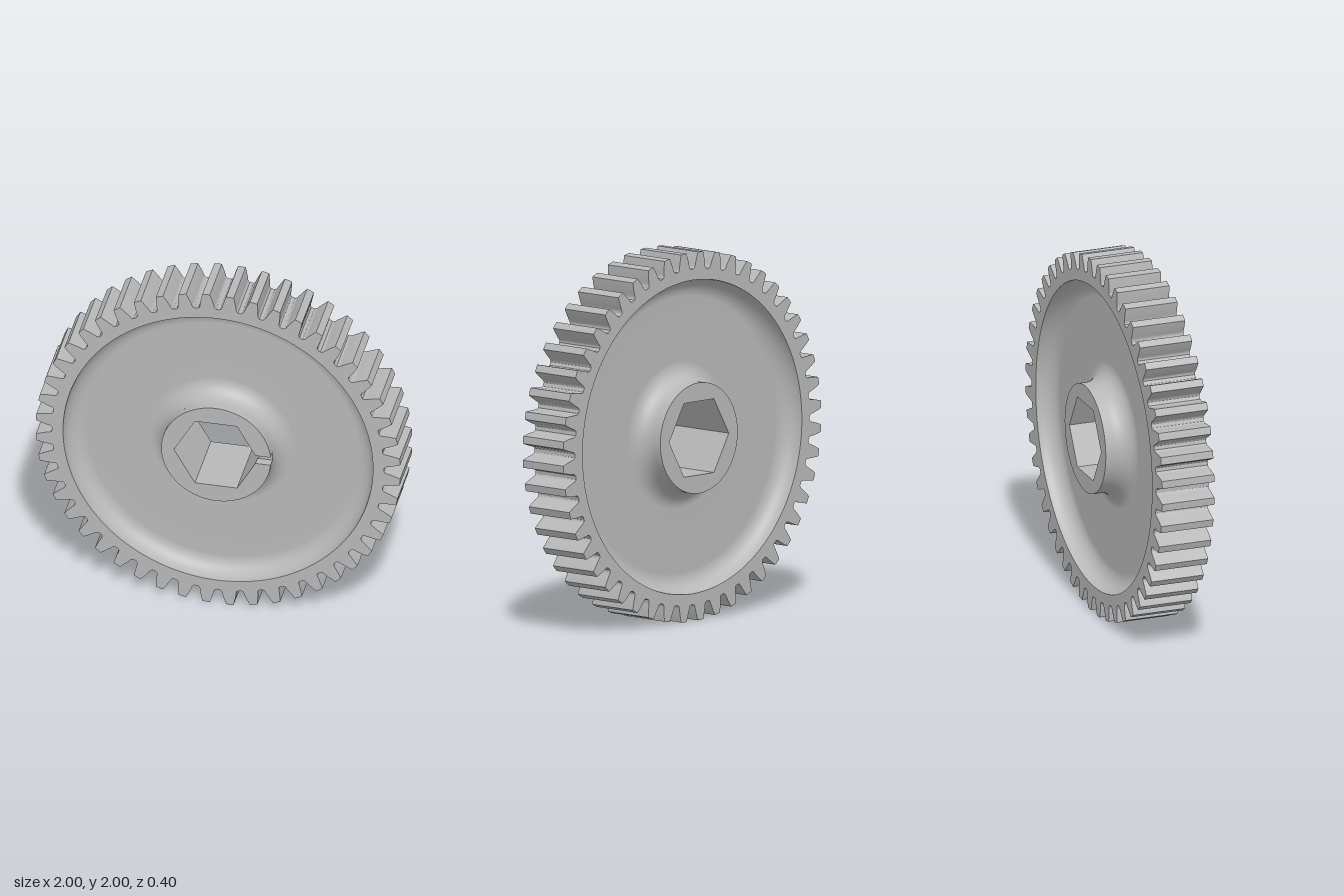
import * as THREE from 'three';
import { toCreasedNormals } from 'three/addons/utils/BufferGeometryUtils.js';

const TEETH = 48, TIP = 1.0, ROOT = 0.91, RECESS = 0.85, HUB = 0.3, HEX = 0.2;
const HALF_WIDTH = 0.15, HALF_HUB = 0.2, HALF_WEB = 0.05, FILLET = 0.1, SLOT = 0.025;

const polar = (r, a) => new THREE.Vector2(r * Math.cos(a), r * Math.sin(a));

// Toothed outline: flank points as [radius, half thickness], with a rounded root
function gearShape() {
  const flank = [[ROOT, 0.05], [0.914, 0.044], [0.922, 0.0395], [0.935, 0.0375],
    [0.96, 0.0318], [0.98, 0.0265], [TIP, 0.0205]];
  const points = [];
  for (let i = 0; i < TEETH; i++) {
    const mid = (i + 0.5) * 2 * Math.PI / TEETH;
    flank.forEach(([r, t]) => points.push(polar(r, mid - t / r)));
    points.push(polar(TIP, mid));
    [...flank].reverse().forEach(([r, t]) => points.push(polar(r, mid + t / r)));
  }
  const shape = new THREE.Shape(points);
  shape.holes.push(new THREE.Path().absarc(0, 0, RECESS, 0, Math.PI * 2, true));
  return shape;
}

// Corners of the hexagonal bore, flats at top and bottom
const hexCorners = [0, 1, 2, 3, 4, 5].map(i => polar(HEX / Math.cos(Math.PI / 6), i * Math.PI / 3));

function hubShape() {
  const shape = new THREE.Shape().absarc(0, 0, HUB, 0, Math.PI * 2, false);
  shape.holes.push(new THREE.Path([...hexCorners].reverse()));
  return shape;
}

// Hub outline cut open by the slot on the +x side
function slottedHubShape() {
  const a = Math.asin(SLOT / HUB);
  const x = hexCorners[0].x - SLOT / Math.sqrt(3);
  const shape = new THREE.Shape();
  shape.absarc(0, 0, HUB, a, Math.PI * 2 - a, false);
  shape.lineTo(x, -SLOT);
  for (let i = 5; i >= 1; i--) shape.lineTo(hexCorners[i].x, hexCorners[i].y);
  shape.lineTo(x, SLOT);
  shape.closePath();
  return shape;
}

function extrude(shape, z0, z1, crease) {
  const geometry = new THREE.ExtrudeGeometry(shape, { depth: z1 - z0, bevelEnabled: false, curveSegments: 96 });
  return toCreasedNormals(geometry.translate(0, 0, z0), crease);
}

// Recessed web with a quarter-round fillet at the rim and at the hub
function webGeometry() {
  const points = [], steps = 12;
  for (let i = 0; i <= steps; i++) {
    const a = i / steps * Math.PI / 2;
    points.push(new THREE.Vector2(RECESS - FILLET + FILLET * Math.cos(a), HALF_WIDTH - FILLET * Math.sin(a)));
  }
  for (let i = 0; i <= steps; i++) {
    const a = i / steps * Math.PI / 2;
    points.push(new THREE.Vector2(HUB + FILLET - FILLET * Math.sin(a), HALF_WEB + FILLET - FILLET * Math.cos(a)));
  }
  return new THREE.LatheGeometry(points, 96).rotateX(Math.PI / 2);
}

export function createModel() {
  const steel = new THREE.MeshStandardMaterial({ color: 0xb8b8b8 });
  steel.name = 'grey metal';
  const group = new THREE.Group();
  group.name = 'gear';
  const add = (name, geometry) => {
    const mesh = new THREE.Mesh(geometry, steel);
    mesh.name = name;
    mesh.position.y = 1;
    group.add(mesh);
    return mesh;
  };

  add('toothedRim', extrude(gearShape(), -HALF_WIDTH, HALF_WIDTH, 0.5));
  add('frontWeb', webGeometry());
  add('backWeb', webGeometry()).rotation.y = Math.PI;
  add('hub', extrude(hubShape(), -HALF_HUB, HALF_WIDTH, 0.4));
  add('slottedHubEnd', extrude(slottedHubShape(), HALF_WIDTH, HALF_HUB, 0.4));
  return group;
}
